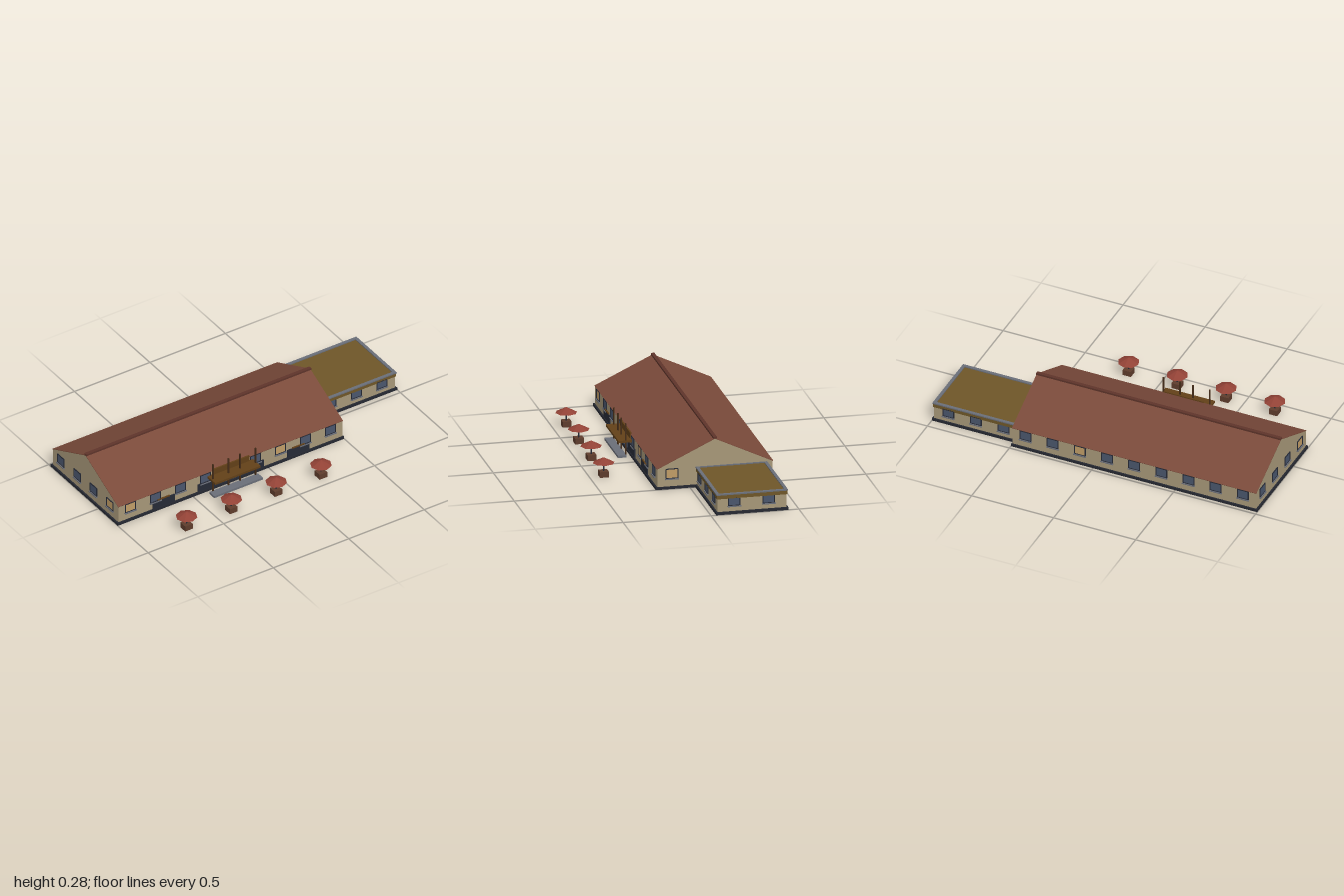
import * as THREE from 'three';

const mat = (color) => new THREE.MeshStandardMaterial({ color, flatShading: true, side: THREE.DoubleSide });
const M = {
  wall: mat(0xa69778), roof: mat(0x7a4a3a), ridge: mat(0x5e342a), ochre: mat(0x6e5628),
  navy: mat(0x262a36), plinth: mat(0x252831), grey: mat(0x6a6e78), glass: mat(0x4a566c),
  lit: mat(0xc09c66), wood: mat(0x624018), pole: mat(0x442c18), shade: mat(0x924236), base: mat(0x5e3c2c),
};

// Box given by its minimum and maximum corners
function box(parent, name, material, x0, x1, y0, y1, z0, z1) {
  const m = new THREE.Mesh(new THREE.BoxGeometry(x1 - x0, y1 - y0, z1 - z0), material);
  m.position.set((x0 + x1) / 2, (y0 + y1) / 2, (z0 + z1) / 2);
  m.name = name;
  parent.add(m);
  return m;
}

// Window facing +z: frame bars, pane and sill; turned by angle about y
function addWindow(parent, x, y, z, angle, lit = false, h = 0.054) {
  const g = new THREE.Group();
  g.name = 'window';
  const w = 0.033, b = 0.005;
  box(g, 'pane', lit ? M.lit : M.glass, -w, w, -h / 2, h / 2, -0.002, 0.0015);
  for (const s of [-1, 1]) {
    box(g, 'frameSide', M.navy, s * w - b / 2, s * w + b / 2, -h / 2, h / 2, -0.002, 0.004);
    box(g, 'frameRail', M.navy, -w, w, s * h / 2 - b / 2, s * h / 2 + b / 2, -0.002, 0.004);
  }
  box(g, 'sill', M.grey, -w - 0.005, w + 0.005, -h / 2 - 0.007, -h / 2 - 0.001, -0.002, 0.009);
  g.position.set(x, y, z);
  g.rotation.y = angle;
  parent.add(g);
}

function mainHall() {
  const g = new THREE.Group();
  g.name = 'mainHall';
  const x0 = -0.99, x1 = 0.495, zf = 0.185, zb = -0.471, zr = -0.143, eave = 0.118, top = 0.274;
  box(g, 'plinth', M.plinth, -1, 0.5, 0, 0.015, -0.48, 0.195);

  // Gabled body, profile drawn in (-z, y) and extruded along x
  const s = new THREE.Shape([[-zf, 0.01], [-zb, 0.01], [-zb, eave], [-zr, top], [-zf, eave]]
    .map(([a, b]) => new THREE.Vector2(a, b)));
  const body = new THREE.Mesh(new THREE.ExtrudeGeometry(s, { depth: x1 - x0, bevelEnabled: false }), M.wall);
  body.rotation.y = Math.PI / 2;
  body.position.x = x0;
  body.name = 'walls';
  g.add(body);

  // Two thin roof slopes and the ridge cap
  for (const ze of [zf + 0.003, zb - 0.003]) {
    const dz = ze - zr, dy = eave - top, len = Math.hypot(dz, dy);
    const slope = new THREE.Mesh(new THREE.BoxGeometry(x1 - x0 + 0.004, 0.003, len), M.roof);
    slope.position.set((x0 + x1) / 2, (eave + top) / 2 + 0.001, (ze + zr) / 2);
    slope.rotation.x = Math.atan2(-dy, dz) + (dz < 0 ? Math.PI : 0);
    slope.name = 'roofSlope';
    g.add(slope);
  }
  box(g, 'ridgeCap', M.ridge, x0 - 0.003, x1 + 0.003, 0.274, 0.285, zr - 0.01, zr + 0.01);

  // Window rows
  for (let i = 0; i < 9; i++) {
    const x = -0.91 + i * 0.1656;
    if (i !== 4) addWindow(g, x, 0.089, zf, 0, i === 0 || i === 6);
    addWindow(g, x, 0.089, zb, Math.PI, i === 6);
  }
  for (let i = 0; i < 4; i++) addWindow(g, x0, 0.089, 0.102 - i * 0.164, -Math.PI / 2, i === 0);
  addWindow(g, x1, 0.089, 0.102, Math.PI / 2, true);

  // Side doors with small boards above
  for (const x of [-0.692, 0.2]) {
    box(g, 'sideDoor', M.navy, x - 0.072, x + 0.072, 0.015, 0.064, zf - 0.01, zf + 0.006);
    box(g, 'doorBoard', M.wood, x - 0.04, x + 0.04, 0.064, 0.07, zf, zf + 0.008);
  }
  return g;
}

function entrance() {
  const g = new THREE.Group();
  g.name = 'entrance';
  box(g, 'entranceFront', M.navy, -0.465, -0.03, 0.015, 0.064, 0.175, 0.191);
  for (const x of [-0.275, -0.218]) box(g, 'doorGlass', M.glass, x - 0.022, x + 0.022, 0.02, 0.068, 0.18, 0.193);
  box(g, 'signBoard', M.wood, -0.365, -0.125, 0.09, 0.13, 0.183, 0.192);
  box(g, 'canopy', M.wood, -0.4, -0.1, 0.082, 0.095, 0.185, 0.264);
  box(g, 'step', M.grey, -0.41, -0.088, 0, 0.013, 0.22, 0.27);
  for (const x of [-0.388, -0.285, -0.207, -0.105])
    box(g, 'canopyPole', M.pole, x - 0.004, x + 0.004, 0.01, 0.193, 0.218, 0.226);
  return g;
}

function annex() {
  const g = new THREE.Group();
  g.name = 'annex';
  const x0 = 0.49, x1 = 0.99, zb = -0.432, zf = -0.04;
  box(g, 'annexPlinth', M.plinth, x0, 1, 0, 0.015, -0.441, -0.03);
  box(g, 'annexWalls', M.wall, x0, x1, 0.01, 0.1, zb, zf);
  box(g, 'fascia', M.ochre, x0 + 0.006, x1 + 0.004, 0.09, 0.113, zb - 0.004, zf + 0.004);

  // Raised rim around the flat roof
  const a = 0.497, b = 0.998, c = -0.439, d = -0.032, w = 0.018;
  for (const [p, q, r, t] of [[a, b, c, c + w], [a, b, d - w, d], [a, a + 0.008, c, d], [b - w, b, c, d]])
    box(g, 'roofRim', M.grey, p, q, 0.112, 0.119, r, t);

  for (const x of [0.567, 0.735, 0.903]) {
    addWindow(g, x, 0.071, zf, 0, false, 0.046);
    addWindow(g, x, 0.071, zb, Math.PI, false, 0.046);
  }
  for (const z of [-0.135, -0.331]) addWindow(g, x1, 0.071, z, Math.PI / 2, false, 0.046);
  return g;
}

function parasol(x) {
  const g = new THREE.Group();
  g.name = 'parasol';
  box(g, 'parasolBase', M.base, -0.025, 0.025, 0, 0.033, -0.025, 0.025);
  const pole = new THREE.Mesh(new THREE.CylinderGeometry(0.004, 0.004, 0.07, 8), M.navy);
  pole.position.y = 0.06;
  pole.name = 'parasolPole';
  const shade = new THREE.Mesh(new THREE.ConeGeometry(0.061, 0.031, 8), M.shade);
  shade.position.y = 0.0955;
  shade.name = 'parasolShade';
  g.add(pole, shade);
  g.position.set(x, 0, 0.42);
  return g;
}

export function createModel() {
  const model = new THREE.Group();
  model.name = 'longHouse';
  model.add(mainHall(), entrance(), annex());
  for (let i = 0; i < 4; i++) model.add(parasol(-0.693 + i * 0.297));
  return model;
}
